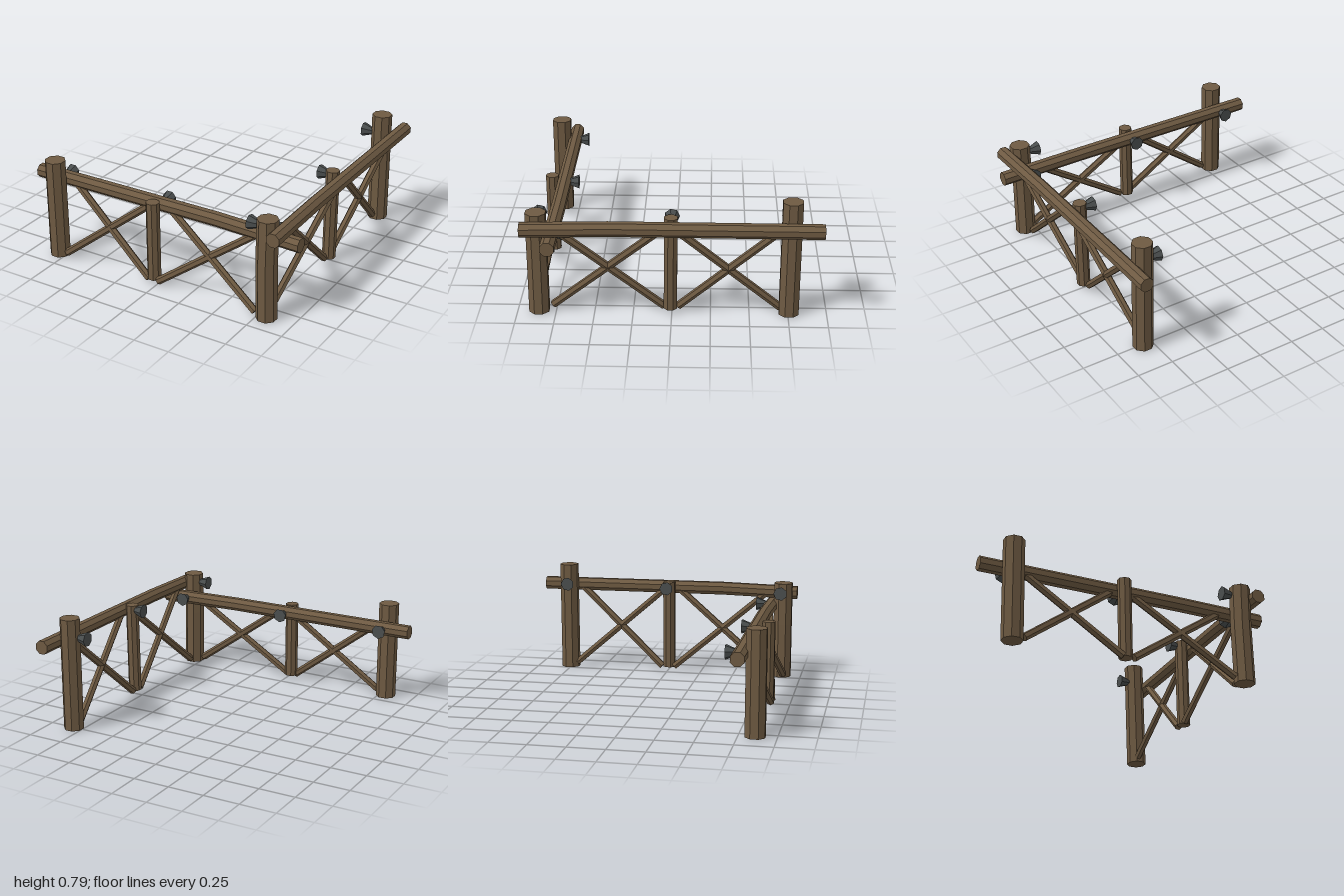
import * as THREE from 'three';

const wood = new THREE.MeshStandardMaterial({ color: 0x6e5a42, flatShading: true });
wood.name = 'weathered wood';
const iron = new THREE.MeshStandardMaterial({ color: 0x4a4e4e, flatShading: true });
iron.name = 'dark iron';

const UP = new THREE.Vector3(0, 1, 0);

// Faceted log through a few points, so it may bend slightly on its way.
function log(name, points, radius, sides, material = wood, endRadius = radius) {
  const path = points.map((p) => new THREE.Vector3(...p));
  const rows = path.length - 1;
  const geo = new THREE.CylinderGeometry(endRadius, radius, rows, sides, rows);
  geo.rotateY(Math.PI / sides);
  const dir = path[rows].clone().sub(path[0]).normalize();
  const turn = new THREE.Quaternion().setFromUnitVectors(UP, dir);
  const pos = geo.attributes.position;
  const v = new THREE.Vector3();
  for (let i = 0; i < pos.count; i++) {
    v.fromBufferAttribute(pos, i);
    const row = Math.round(v.y + rows / 2);
    v.setY(0).applyQuaternion(turn).add(path[row]);
    pos.setXYZ(i, v.x, v.y, v.z);
  }
  geo.computeVertexNormals();
  const mesh = new THREE.Mesh(geo, material);
  mesh.name = name;
  return mesh;
}

export function createModel() {
  const fence = new THREE.Group();
  fence.name = 'cornerFence';

  // Thick posts
  fence.add(
    log('endPost', [[-0.8, 0, 0.86], [-0.8, 0.7, 0.86]], 0.07, 8),
    log('cornerPost', [[0.815, 0, 0.86], [0.81, 0.4, 0.86], [0.815, 0.7, 0.86]], 0.07, 8),
    log('backPost', [[0.815, 0, -0.755], [0.81, 0.79, -0.76]], 0.069, 8),
  );

  // Slim middle posts
  fence.add(
    log('frontMiddlePost', [[-0.035, 0.03, 0.85], [-0.035, 0.585, 0.85]], 0.046, 8),
    log('sideMiddlePost', [[0.815, 0.03, 0.01], [0.82, 0.675, 0.005]], 0.046, 8),
  );

  // Top rails with a slight bend
  fence.add(
    log('frontRail', [[-1, 0.54, 0.765], [0.4, 0.54, 0.765], [1, 0.527, 0.775]], 0.049, 8),
    log('sideRail', [[0.9, 0.615, 0.955], [0.9, 0.628, 0.4], [0.9, 0.625, -0.96]], 0.049, 8),
  );

  // Crossed braces: [low end, high end] along each run
  const frontBraces = [[-0.73, -0.1], [-0.06, -0.69], [0.01, 0.69], [0.74, 0.06]];
  for (const [low, high] of frontBraces) {
    fence.add(log('frontBrace', [[low, 0.03, 0.875], [high, 0.52, 0.775]], 0.026, 6));
  }
  const sideBraces = [[0.77, 0.08], [0.05, 0.73], [-0.04, -0.67], [-0.7, -0.04]];
  for (const [low, high] of sideBraces) {
    fence.add(log('sideBrace', [[0.8, 0.035, low], [0.885, 0.61, high]], 0.026, 6));
  }

  // Flared iron bolts, wide end facing inwards
  for (const x of [-0.805, -0.025, 0.805]) {
    fence.add(log('frontBolt', [[x, 0.54, 0.735], [x, 0.54, 0.665]], 0.022, 7, iron, 0.05));
  }
  for (const [x, y, z] of [[0.68, 0.64, 0.85], [0.72, 0.64, 0], [0.68, 0.655, -0.745]]) {
    fence.add(log('sideBolt', [[x + 0.075, y, z], [x, y, z]], 0.022, 7, iron, 0.05));
  }
  return fence;
}
